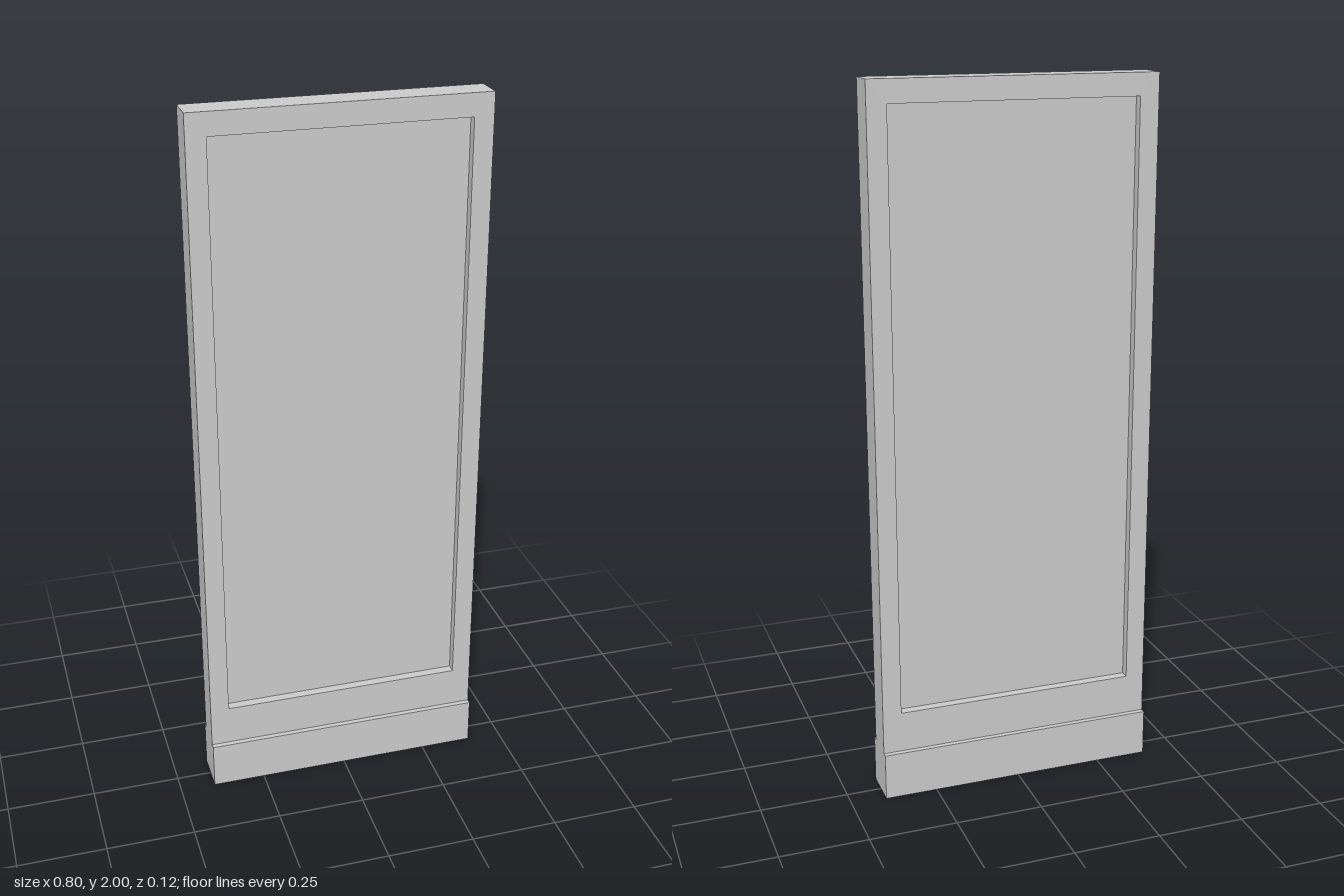
import * as THREE from 'three';

export function createModel() {
  const group = new THREE.Group();
  const material = new THREE.MeshStandardMaterial({ color: 0xcccccc, flatShading: true });
  const halfWidth = 0.4, height = 2, baseHeight = 0.135;
  const frameDepth = 0.088, baseDepth = 0.118, recess = 0.026;
  const opening = { halfWidth: 0.346, bottom: 0.253, top: 1.938 };

  const add = (name, geometry, y, z = 0) => {
    const mesh = new THREE.Mesh(geometry, material);
    mesh.name = name;
    mesh.position.set(0, y, z);
    group.add(mesh);
  };
  const trace = (path, hw, bottom, top) =>
    path.moveTo(-hw, bottom).lineTo(hw, bottom).lineTo(hw, top).lineTo(-hw, top).closePath();

  // Upright frame with a rectangular opening
  const outline = trace(new THREE.Shape(), halfWidth, baseHeight, height);
  outline.holes.push(trace(new THREE.Path(), opening.halfWidth, opening.bottom, opening.top));
  add('frame', new THREE.ExtrudeGeometry(outline, { depth: frameDepth, bevelEnabled: false }), 0, -frameDepth / 2);

  // Panel set back from both faces of the frame
  add('displayPanel',
    new THREE.BoxGeometry(opening.halfWidth * 2, opening.top - opening.bottom, frameDepth - recess * 2),
    (opening.top + opening.bottom) / 2);

  // Thicker plinth
  add('base', new THREE.BoxGeometry(halfWidth * 2, baseHeight, baseDepth), baseHeight / 2);

  return group;
}
